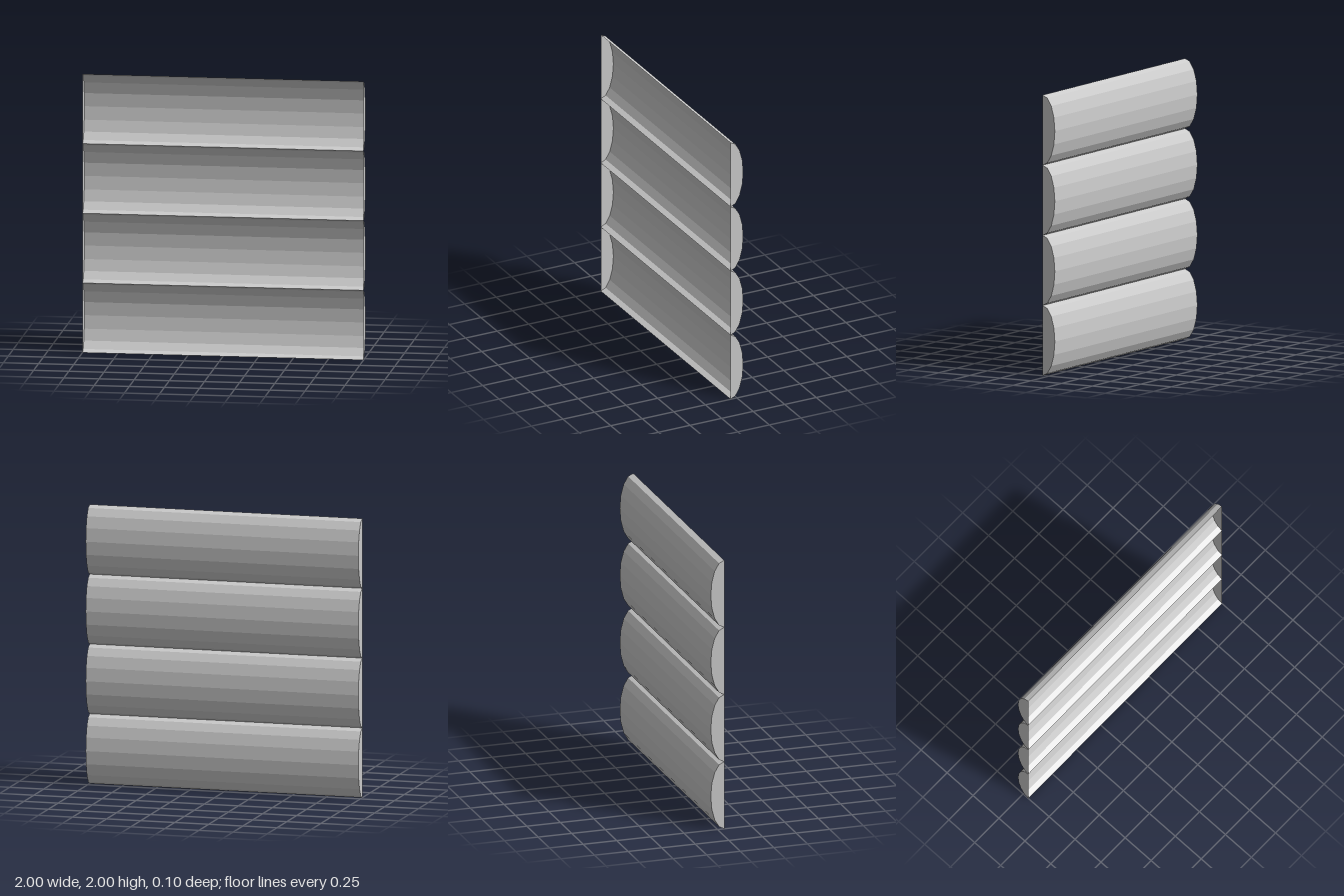
import * as THREE from 'three';

export function createModel() {
  const group = new THREE.Group();
  group.name = 'scallopedPanel';
  const material = new THREE.MeshStandardMaterial({
    color: 0xcccccc, flatShading: true, side: THREE.DoubleSide,
  });

  const count = 4, height = 2 / count, depth = 0.1;

  // Half-elliptical trough along x: closed ends, open front, bulging to the back
  const trough = new THREE.CylinderGeometry(1, 1, 2, 8, 1, false, Math.PI / 2, Math.PI);
  trough.rotateZ(Math.PI / 2);
  trough.scale(1, height / 2, depth);

  // Stacked slats
  for (let i = 0; i < count; i++) {
    const slat = new THREE.Mesh(trough, material);
    slat.name = `slat${i + 1}`;
    slat.position.set(0, (i + 0.5) * height, depth / 2);
    group.add(slat);
  }
  return group;
}
